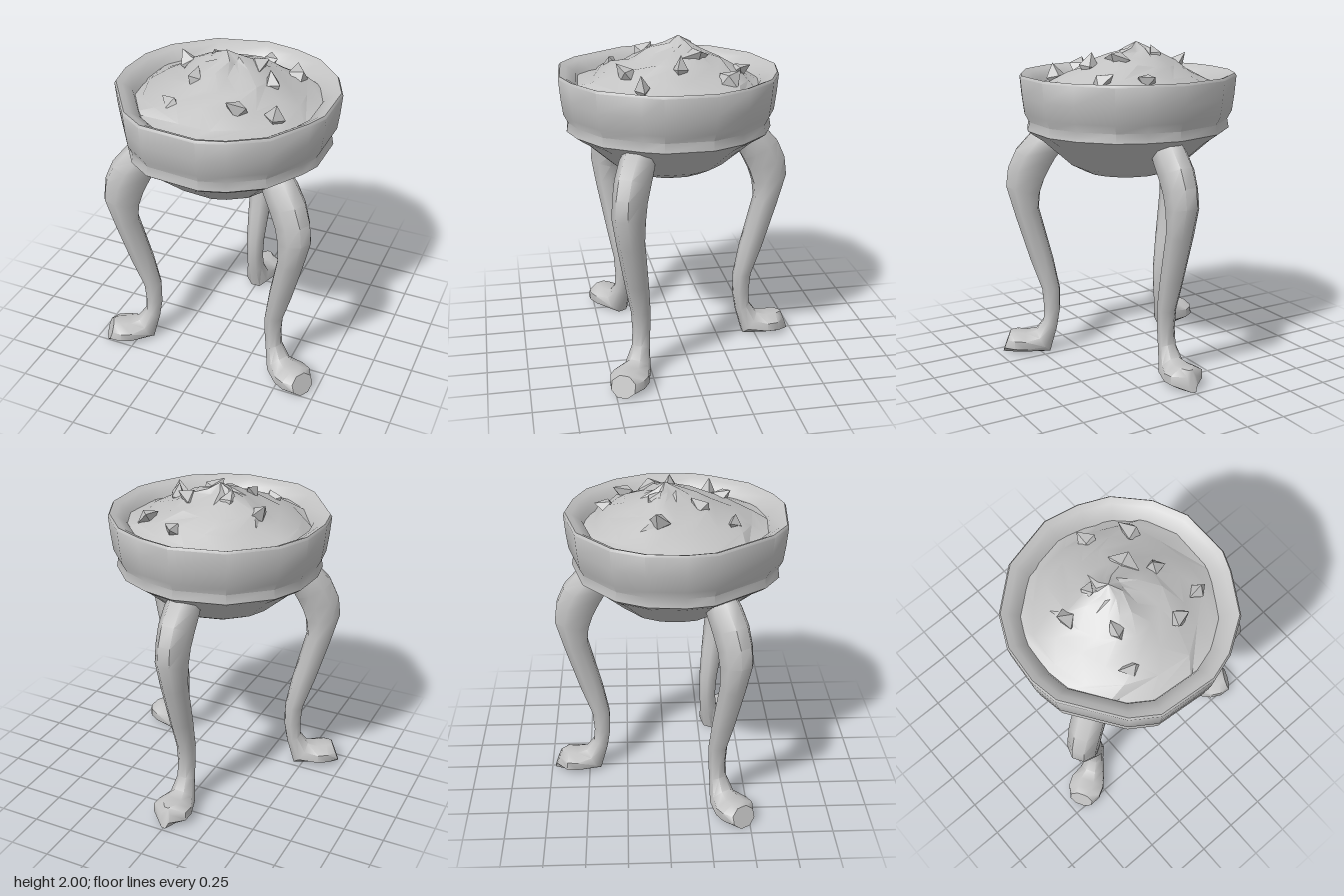
import * as THREE from 'three';
import { toCreasedNormals } from 'three/addons/utils/BufferGeometryUtils.js';

const CENTRE_Z = 0.07;

// Skin rings of points (running z to x, from top to bottom); optionally close the last ring.
function loft(rings, crease, capEnd = false) {
  const n = rings[0].length;
  const pos = rings.flat(2);
  const index = [];
  for (let i = 0; i < rings.length - 1; i++) {
    for (let j = 0; j < n; j++) {
      const a = i * n + j, b = i * n + (j + 1) % n;
      index.push(a, a + n, b, b, a + n, b + n);
    }
  }
  if (capEnd) {
    const s = (rings.length - 1) * n;
    for (let j = 1; j < n - 1; j++) index.push(s, s + j + 1, s + j);
  }
  const g = new THREE.BufferGeometry();
  g.setAttribute('position', new THREE.Float32BufferAttribute(pos, 3));
  g.setIndex(index);
  return toCreasedNormals(g, crease);
}

function seeded(seed) {
  return () => {
    seed = (seed * 16807) % 2147483647;
    return seed / 2147483647;
  };
}

// Uneven hand-beaten bowl outline, as x, z
const OUTLINE = [
  [0.1, 0.73], [0.26, 0.68], [0.46, 0.55], [0.6, 0.32], [0.65, 0.2], [0.65, -0.1],
  [0.56, -0.3], [0.39, -0.48], [0.21, -0.56], [0, -0.6], [-0.32, -0.52], [-0.55, -0.32],
  [-0.64, -0.13], [-0.66, 0.1], [-0.63, 0.27], [-0.4, 0.6], [-0.25, 0.7],
];

function bowlGeometry() {
  // scale of the outline, height: inner wall, rim, outer wall, ledge, underside
  const profile = [
    [0.78, 1.66], [0.84, 1.755], [0.93, 1.795], [0.985, 1.81], [1, 1.795], [0.985, 1.68], [0.965, 1.58],
    [0.925, 1.53], [0.94, 1.475], [0.88, 1.445], [0.8, 1.41], [0.53, 1.25], [0.4, 1.205], [0, 1.195],
  ];
  const rings = profile.map(([s, y]) =>
    OUTLINE.map(([x, z]) => [x * s, y, CENTRE_Z + (z - CENTRE_Z) * s]));
  return loft(rings, 0.75);
}

function coalGeometry() {
  const rnd = seeded(41);
  const n = 15;
  const profile = [[0, 2], [0.07, 1.955], [0.16, 1.92], [0.27, 1.865], [0.38, 1.815], [0.48, 1.765], [0.58, 1.72]];
  const rings = profile.map(([r, y], i) => Array.from({ length: n }, (_, j) => {
    const t = (j + (i % 2) * 0.5) / n * Math.PI * 2;
    const rr = r * (0.95 + rnd() * 0.1);
    const dy = i === 0 ? 0 : (rnd() - 0.5) * 0.035;
    return [Math.sin(t) * rr - 0.03 * (1 - r / 0.58), y + dy, Math.cos(t) * rr + 0.05 * (r / 0.58)];
  }));
  return loft(rings, 0.6);
}

// Cabriole leg reaching out along +z; rows are inner z, y, outer z, y, half width
function legGeometry(toeHalf) {
  const rows = [
    [0.4, 1.33, 0.5, 1.5, 0.085],
    [0.44, 1.28, 0.59, 1.435, 0.095],
    [0.475, 1.22, 0.685, 1.33, 0.095],
    [0.515, 1.14, 0.735, 1.22, 0.09],
    [0.545, 1.05, 0.75, 1.1, 0.088],
    [0.555, 0.95, 0.695, 0.9, 0.078],
    [0.47, 0.62, 0.61, 0.62, 0.065],
    [0.43, 0.42, 0.54, 0.42, 0.055],
    [0.43, 0.28, 0.53, 0.3, 0.05],
    [0.45, 0.16, 0.535, 0.21, 0.052],
    [0.495, 0, 0.585, 0.14, 0.075],
    [0.64, 0, 0.65, 0.125, 0.112],
    [0.72, 0, 0.71, 0.13, 0.11],
    [0.8, 0, 0.755, 0.125, toeHalf],
  ];
  const n = 8, flat = Math.cos(Math.PI / n);
  const rings = rows.map(([zi, yi, zo, yo, w]) => Array.from({ length: n }, (_, j) => {
    const t = (j + 0.5) / n * Math.PI * 2;
    const c = Math.cos(t) / flat / 2;
    return [Math.sin(t) / flat * w, (yi + yo) / 2 + c * (yo - yi), (zi + zo) / 2 + c * (zo - zi)];
  }));
  return loft(rings, 0.9, true);
}

export function createModel() {
  const stone = new THREE.MeshStandardMaterial({ color: 0xc2c2c2 });
  stone.name = 'pale grey';
  const model = new THREE.Group();
  model.name = 'brazier';
  const add = (geometry, name) => {
    const mesh = new THREE.Mesh(geometry, stone);
    mesh.name = name;
    model.add(mesh);
    return mesh;
  };

  add(bowlGeometry(), 'bowl');
  add(coalGeometry(), 'coalBed');

  // Jagged coals breaking through the bed: x, y, z, size
  const rnd = seeded(7);
  [
    [-0.29, 1.855, -0.04, 0.075], [-0.12, 1.915, -0.07, 0.065], [0.14, 1.905, -0.07, 0.08],
    [0.1, 1.8, -0.34, 0.07], [0.33, 1.8, -0.23, 0.08], [0.18, 1.82, 0.34, 0.08],
    [0.38, 1.785, 0.28, 0.07], [-0.14, 1.88, 0.2, 0.07], [0.27, 1.86, 0.04, 0.07],
    [-0.2, 1.795, 0.39, 0.07],
  ].forEach(([x, y, z, size]) => {
    const coal = add(new THREE.OctahedronGeometry(size), 'coal');
    coal.position.set(x, y, z);
    coal.rotation.set(rnd() * 3, rnd() * 3, rnd() * 3);
    coal.scale.set(1.2, 0.65, 0.9);
  });

  // Three legs, the back one with a pointed toe
  [[Math.PI, 0.03, 'backLeg'], [Math.PI / 3, 0.075, 'frontLeftLeg'], [-Math.PI / 3, 0.075, 'frontRightLeg']]
    .forEach(([angle, toeHalf, name]) => {
      const leg = add(legGeometry(toeHalf), name);
      leg.position.z = CENTRE_Z;
      leg.rotation.y = angle;
    });

  return model;
}
